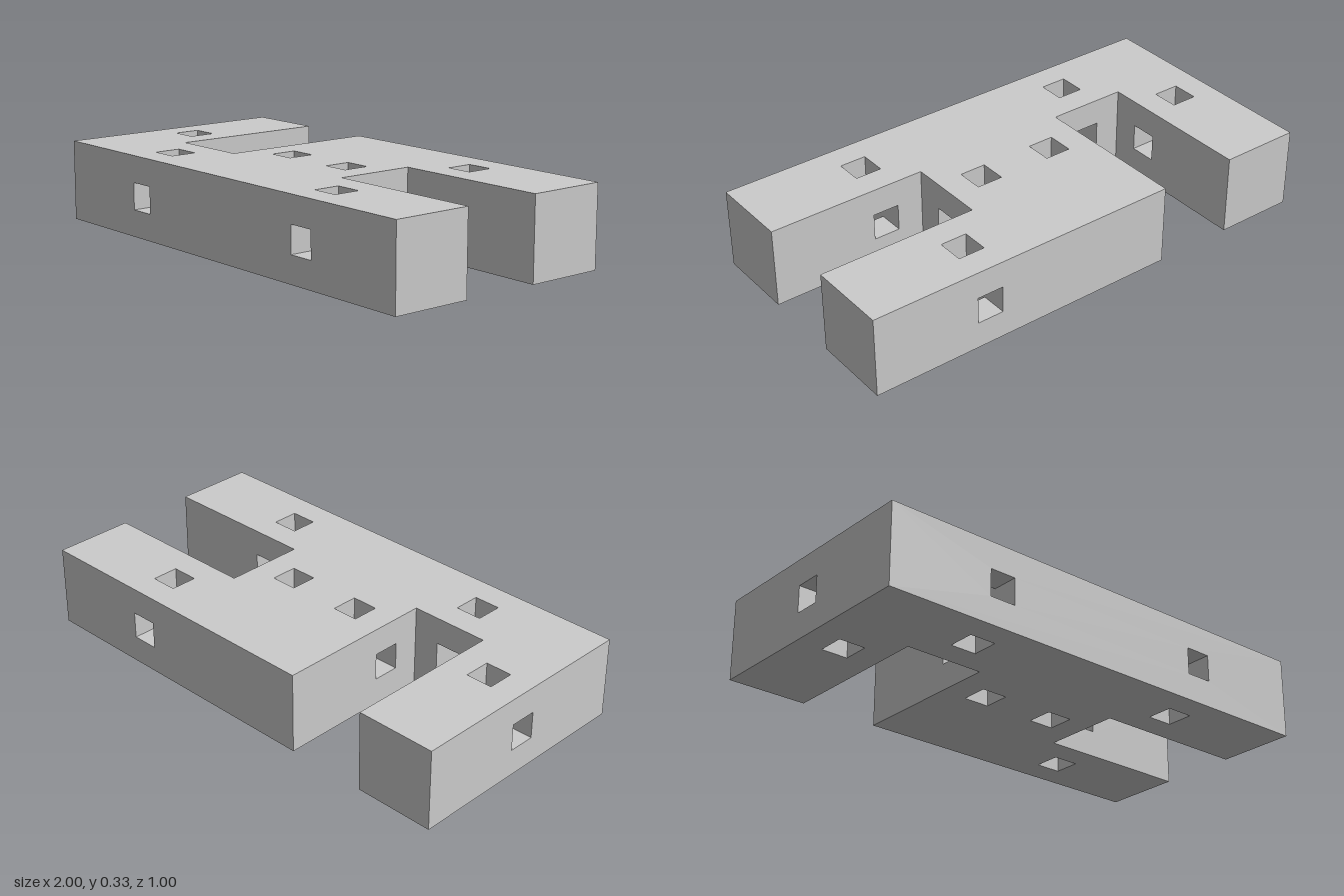
import * as THREE from 'three';
import { mergeGeometries } from 'three/addons/utils/BufferGeometryUtils.js';

// Everything is laid out in square cells; one cell is a third of a unit.
const CELL = 1 / 3;
const BORE = 1 / 3; // width of a tunnel, in cells

// Footprint seen from above as [x, z], anticlockwise from the front right corner.
const OUTLINE = [
  [-3, 1.5], [3, 1.5], [3, 0.5], [1, 0.5], [1, -0.5], [3, -0.5],
  [3, -1.5], [-1, -1.5], [-1, 0.5], [-2, 0.5], [-2, -1.5], [-3, -1.5],
];

// Cells bored vertically and also along one horizontal axis.
const BORED = [
  { x: -2.5, z: 0, axis: 'x' }, { x: -0.5, z: 0, axis: 'x' }, { x: 0.5, z: 0, axis: 'x' },
  { x: -1.5, z: 1, axis: 'z' }, { x: 1.5, z: 1, axis: 'z' }, { x: 1.5, z: -1, axis: 'z' },
];

const AXES = {
  x: new THREE.Vector3(1, 0, 0),
  y: new THREE.Vector3(0, 1, 0),
  z: new THREE.Vector3(0, 0, 1),
};

// Flat panel with square holes centred on the given points.
function panel(corners, holes) {
  const shape = new THREE.Shape(corners.map(([x, y]) => new THREE.Vector2(x, y)));
  const h = BORE / 2;
  for (const [x, y] of holes) {
    shape.holes.push(new THREE.Path([
      new THREE.Vector2(x - h, y - h), new THREE.Vector2(x - h, y + h),
      new THREE.Vector2(x + h, y + h), new THREE.Vector2(x + h, y - h),
    ]));
  }
  return new THREE.ShapeGeometry(shape);
}

// Top (side = 1) or bottom (side = -1) face.
function cap(side) {
  const flip = ([x, z]) => [x, -side * z];
  return panel(OUTLINE.map(flip), BORED.map((b) => flip([b.x, b.z])))
    .rotateX(-side * Math.PI / 2)
    .translate(0, side > 0 ? 1 : 0, 0);
}

// Upright wall along each outline edge, pierced where a tunnel comes out.
function walls() {
  const exits = BORED.flatMap((b) => [-0.5, 0.5].map((o) =>
    new THREE.Vector3(b.x, 0, b.z).addScaledVector(AXES[b.axis], o)));
  return OUTLINE.map(([x, z], i) => {
    const [nx, nz] = OUTLINE[(i + 1) % OUTLINE.length];
    const start = new THREE.Vector3(x, 0, z);
    const along = new THREE.Vector3(nx - x, 0, nz - z);
    const length = along.length();
    along.normalize();
    const out = along.clone().cross(AXES.y);
    const holes = exits
      .map((e) => e.clone().sub(start))
      .filter((e) => Math.abs(e.dot(out)) < 1e-6 && e.dot(along) > 0 && e.dot(along) < length)
      .map((e) => [e.dot(along), 0.5]);
    const matrix = new THREE.Matrix4().makeBasis(along, AXES.y, out).setPosition(start);
    return panel([[0, 0], [length, 0], [length, 1], [0, 1]], holes).applyMatrix4(matrix);
  });
}

// Lining of a crossing: four arms and the two closed sides of the middle.
function crossing({ x, z, axis }) {
  const centre = new THREE.Vector3(x, 0.5, z);
  const parts = [];
  const line = (middle, open) => {
    for (const name of ['x', 'y', 'z'].filter((n) => !open.includes(n))) {
      for (const s of [-1, 1]) {
        const inward = AXES[name].clone().multiplyScalar(-s);
        const turn = new THREE.Quaternion().setFromUnitVectors(AXES.z, inward);
        const p = middle.clone().addScaledVector(inward, -BORE / 2);
        parts.push(new THREE.PlaneGeometry(BORE, BORE).applyQuaternion(turn).translate(p.x, p.y, p.z));
      }
    }
  };
  line(centre, ['y', axis]);
  for (const arm of ['y', axis]) {
    for (const s of [-BORE, BORE]) line(centre.clone().addScaledVector(AXES[arm], s), [arm]);
  }
  return parts;
}

export function createModel() {
  const group = new THREE.Group();
  group.name = 'puzzleBlock';
  const material = new THREE.MeshStandardMaterial({ color: 0xcccccc });
  const add = (name, parts) => {
    const mesh = new THREE.Mesh(mergeGeometries(parts).scale(CELL, CELL, CELL), material);
    mesh.name = name;
    group.add(mesh);
  };

  add('topFace', [cap(1)]);
  add('bottomFace', [cap(-1)]);
  add('sideWalls', walls());
  add('tunnels', BORED.flatMap(crossing));
  return group;
}
